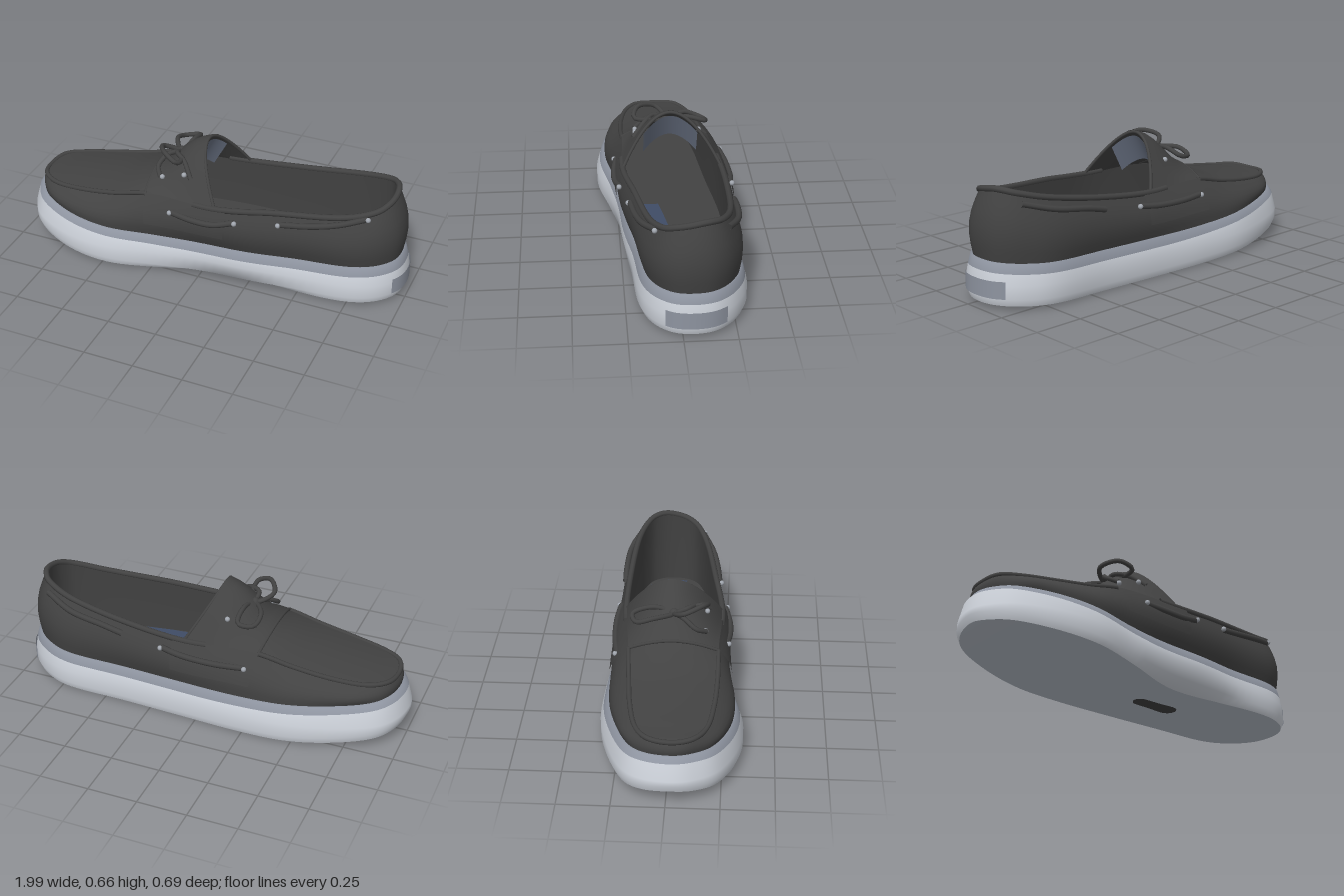
import * as THREE from 'three';

const V = (x, y, z) => new THREE.Vector3(x, y, z);
const mat = (name, color) => {
  const m = new THREE.MeshStandardMaterial({ color, side: THREE.DoubleSide });
  m.name = name;
  return m;
};

// Stations from toe to heel: x, y, z on the +z side, z on the -z side
const SOLE = [
  [-1, .08, .02, .02], [-.97, .068, .135, -.115], [-.88, .05, .245, -.215], [-.69, .027, .327, -.292],
  [-.47, .012, .345, -.34], [-.22, .004, .285, -.342], [.08, 0, .205, -.325], [.4, .003, .2, -.315],
  [.7, .012, .195, -.318], [.86, .016, .15, -.262], [.96, .02, .06, -.165], [.987, .02, -.05, -.05]];
const RIM = [
  [-.93, .31, .02, .02], [-.905, .315, .12, -.085], [-.81, .315, .182, -.148], [-.65, .332, .21, -.182],
  [-.47, .362, .22, -.2], [-.25, .41, .22, -.22], [.08, .412, .23, -.255], [.4, .447, .185, -.255],
  [.68, .495, .14, -.235], [.83, .532, .09, -.19], [.89, .55, .03, -.13], [.908, .55, -.05, -.05]];
const PER = 6, N = 22 * PER, HALF = N / 2, THROAT = 6 * PER;

// Closed ring: toe, along +z to the heel, back along -z
function ring(rows) {
  const pts = rows.map(r => V(r[0], r[1], r[2]));
  for (let i = rows.length - 2; i > 0; i--) pts.push(V(rows[i][0], rows[i][1], rows[i][3]));
  const curve = new THREE.CatmullRomCurve3(pts, true, 'catmullrom', .5);
  return Array.from({ length: N }, (_, j) => curve.getPoint(j / N));
}

// Move a ring outward by d and set its height; both may be functions of the point
function offset(r, d, y) {
  return r.map((p, j) => {
    const t = r[(j + 1) % N].clone().sub(r[(j + N - 1) % N]).setY(0).normalize();
    const k = typeof d === 'function' ? d(p) : d;
    return V(p.x - t.z * k, y === undefined ? p.y : typeof y === 'function' ? y(p) : y, p.z + t.x * k);
  });
}

// Collapse a ring onto its middle line
const spine = r => r.map((p, j) => p.clone().lerp(r[(N - j) % N], .5));

function loft(rows, closed = false) {
  const n = rows[0].length, index = [];
  for (let i = 0; i < rows.length - 1; i++) {
    for (let j = 0; j < (closed ? n : n - 1); j++) {
      const k = (j + 1) % n, a = i * n + j, b = i * n + k, c = a + n, d = b + n;
      index.push(a, b, d, a, d, c);
    }
  }
  const g = new THREE.BufferGeometry();
  g.setAttribute('position', new THREE.Float32BufferAttribute(rows.flat().flatMap(p => [p.x, p.y, p.z]), 3));
  g.setIndex(index);
  g.computeVertexNormals();
  return g;
}

const graph = pts => x => {
  let i = 0;
  while (i < pts.length - 2 && x > pts[i + 1][0]) i++;
  const [a, b] = [pts[i], pts[i + 1]];
  return a[1] + (b[1] - a[1]) * THREE.MathUtils.clamp((x - a[0]) / (b[0] - a[0]), 0, 1);
};

export function createModel() {
  const group = new THREE.Group();
  const leather = mat('charcoal leather', 0x424242), white = mat('pale rubber', 0xd0d5dd);
  const grey = mat('grey rubber', 0x8e94a0), tread = mat('tread rubber', 0xb8bfc9);
  const blue = mat('blue lining', 0x3f4c66), slate = mat('slate lining', 0x6c7587);
  const metal = mat('eyelet metal', 0xa0a5ad);
  const add = (name, geometry, material) => {
    const m = new THREE.Mesh(geometry, material);
    m.name = name;
    group.add(m);
    return m;
  };
  const tube = (name, pts, r, closed = false) =>
    add(name, new THREE.TubeGeometry(new THREE.CatmullRomCurve3(pts, closed), pts.length * 5, r, 8, closed), leather);
  const eyelet = p => add('eyelet', new THREE.SphereGeometry(.013, 10, 8), metal).position.copy(p);

  // Sole: tread, pale sidewall and grey welt
  const S = ring(SOLE), R = ring(RIM);
  // The collar dips on the +z side of the heel
  const smooth = THREE.MathUtils.smoothstep;
  for (const p of R) p.y -= .035 * smooth(p.z, -.1, .1) * smooth(p.x, .3, .8);
  const waist = p => p.z > 0 ? .055 * Math.exp(-(((p.x - .15) / .28) ** 2)) : 0;
  const toeIn = p => .02 * Math.max(0, -p.x);
  const weltY = p => .192 + .03 * p.x ** 2 + (p.x < 0 ? .028 * p.x ** 2 : 0);
  const whiteY = p => weltY(p) - .045 + toeIn(p);
  const edge = offset(S, p => -.014 - waist(p) * .5);
  const whiteTop = offset(S, p => waist(p) - .01 - toeIn(p) * .6, whiteY);
  const weltTop = offset(S, p => waist(p) - .022 - toeIn(p), weltY);
  add('outsole', loft([spine(edge), edge], true), tread);
  add('soleSidewall', loft([edge, offset(S, p => waist(p) * .6, p => p.y + .035), offset(S, p => waist(p) * .9, p => .11 + p.y * .4), whiteTop], true), white);
  add('welt', loft([whiteTop, weltTop, offset(S, p => waist(p) - .038 - toeIn(p), weltY)], true), grey);

  // Plate wrapped on the heel and inset under the arch
  const heelRing = offset(S, .004).filter(p => p.x > .85 && p.z < .09 && p.z > -.21);
  add('heelPlate', loft([.056, .1, .14].map(y => heelRing.map(p => V(p.x, y, p.z)))), grey);
  const pad = add('archInset', new THREE.CapsuleGeometry(.055, .17, 4, 16), leather);
  pad.rotation.z = Math.PI / 2;
  pad.scale.x = .08;
  pad.position.set(.17, .003, -.06);

  // Upper wall from welt to rim, flatter round the toe
  const base = offset(S, p => waist(p) - .034 - toeIn(p), p => weltY(p) - .003);
  const wall = (s, out = 0) => offset(base.map((p, j) => p.clone().lerp(R[j], s)),
    p => .033 * Math.sin(Math.PI * s) * (1 - .7 * smooth(-p.x, .75, .93)) + out);
  add('upperWall', loft([0, .17, .33, .5, .67, .84, 1].map(s => wall(s)), true), leather);

  // Vamp rising over the instep into the tongue
  const crown = graph([[-.93, 0], [-.8, .015], [-.5, .025], [-.33, .045], [-.2, .085], [-.1, .15], [0, .21], [.08, .238]]);
  const vampRow = (j, lift = 0, w = 1) => Array.from({ length: 25 }, (_, i) => {
    const u = w * (i / 12 - 1), p = R[(N - j) % N].clone().lerp(R[j], (u + 1) / 2), h = crown(p.x);
    p.y += h * (1 - Math.abs(u) ** 1.9) + lift;
    p.x -= .13 * (1 - u * u) * smooth(p.x, -.4, .08);
    return p;
  });
  const span = (a, b) => Array.from({ length: b - a + 1 }, (_, i) => a + i);
  add('vamp', loft(span(0, THROAT).map(j => vampRow(j))), leather);
  tube('tongueEdge', vampRow(THROAT), .008);
  // Padded face of the tongue, falling into the opening
  const face = vampRow(THROAT, -.02, .55);
  add('tongueLining', loft([face.map(p => V(p.x - .07, p.y - .13, p.z)), face]), slate);

  // Saddle laid over the instep with flaps down each side
  const A = 29, B = THROAT + 1;
  add('saddle', loft(span(A, THROAT).map(j => vampRow(j, .01))), leather);
  tube('saddleEdge', vampRow(A, .004), .008);
  for (const side of [1, -1]) {
    const part = r => span(A, B).map(j => r[side > 0 ? j : N - j]);
    const rows = [.35, .5, .67, .84, 1].map(s => part(wall(s, .01)));
    add('saddleFlap', loft(side > 0 ? rows : rows.reverse()), leather);
  }

  // Rolled seam round the toe and padded collar round the opening
  const pick = js => js.map(j => R[(j + N) % N].clone());
  tube('toeSeam', pick(span(-A, A)), .012);
  tube('collar', pick(span(THROAT - 2, N - THROAT + 2)), .015);

  // Inner lining and insole
  const inner = offset(R, -.005, .15);
  add('innerLining', loft([offset(R, -.012), offset(R, -.005, p => p.y * .5 + .075), inner], true), leather);
  add('insole', loft([inner, spine(inner)], true), leather);
  const patches = [
    [[-.02, .2], [.1, .205], [.35, .18], [.58, .14], [.68, .05], [.62, -.05], [.45, -.04], [.3, 0], [.1, .03], [-.02, .05]],
    [[.58, -.22], [.7, -.215], [.8, -.18], [.87, -.09], [.86, .02], [.72, -.03], [.75, -.09], [.6, -.15]]];
  for (const pts of patches) {
    const shape = new THREE.Shape(pts.map(([x, z]) => new THREE.Vector2(x, -z)));
    const m = add('insolePatch', new THREE.ShapeGeometry(shape), blue);
    m.rotation.x = -Math.PI / 2;
    m.position.y = .155;
  }

  // Side laces, threaded through eyelets
  const onUpper = (x, y, side, out) => {
    let best = 0;
    for (let j = 0; j <= HALF; j++) if (Math.abs(R[j].x - x) < Math.abs(R[best].x - x)) best = j;
    const j = side > 0 ? best : (N - best) % N;
    return wall((y - base[j].y) / (R[j].y - base[j].y), out)[j];
  };
  const sides = [
    [1, [[-.17, .355], [-.05, .345], [.08, .345], [.2, .37]], true],
    [1, [[.41, .395], [.55, .415], [.68, .44], [.81, .475]], true],
    [-1, [[-.24, .345], [-.1, .345], [.06, .355], [.2, .37]], true],
    [-1, [[.38, .395], [.52, .42], [.68, .45], [.83, .49]], false]];
  for (const [side, run, rings] of sides) {
    tube('sideLace', run.map(([x, y], i) => onUpper(x, y, side, i % 3 ? .014 : .004)), .015);
    if (rings) for (const [x, y] of [run[0], run[3]]) eyelet(onUpper(x, y, side, .014));
  }

  // Tied bow on the instep
  const knot = V(-.19, .55, 0);
  add('bowKnot', new THREE.SphereGeometry(.026, 12, 8), leather).position.copy(knot);
  tube('bowLoop', [knot, V(-.26, .555, -.1), V(-.25, .53, -.18), V(-.18, .54, -.2), V(-.17, .57, -.1)], .012, true);
  tube('bowLoop', [knot, V(-.27, .59, .05), V(-.22, .61, .14), V(-.15, .58, .16), V(-.15, .565, .08)], .012, true);
  tube('laceEnd', [knot, V(-.19, .575, .06), V(-.13, .565, .11), V(-.07, .51, .17)], .012);
  tube('laceEnd', [knot, V(-.24, .55, .05), V(-.27, .51, .11), V(-.24, .48, .16)], .012);
  for (const [x, y, z] of [[-.23, .478, .155], [-.11, .52, .16], [-.11, .525, -.16]]) eyelet(V(x, y, z));

  return group;
}
